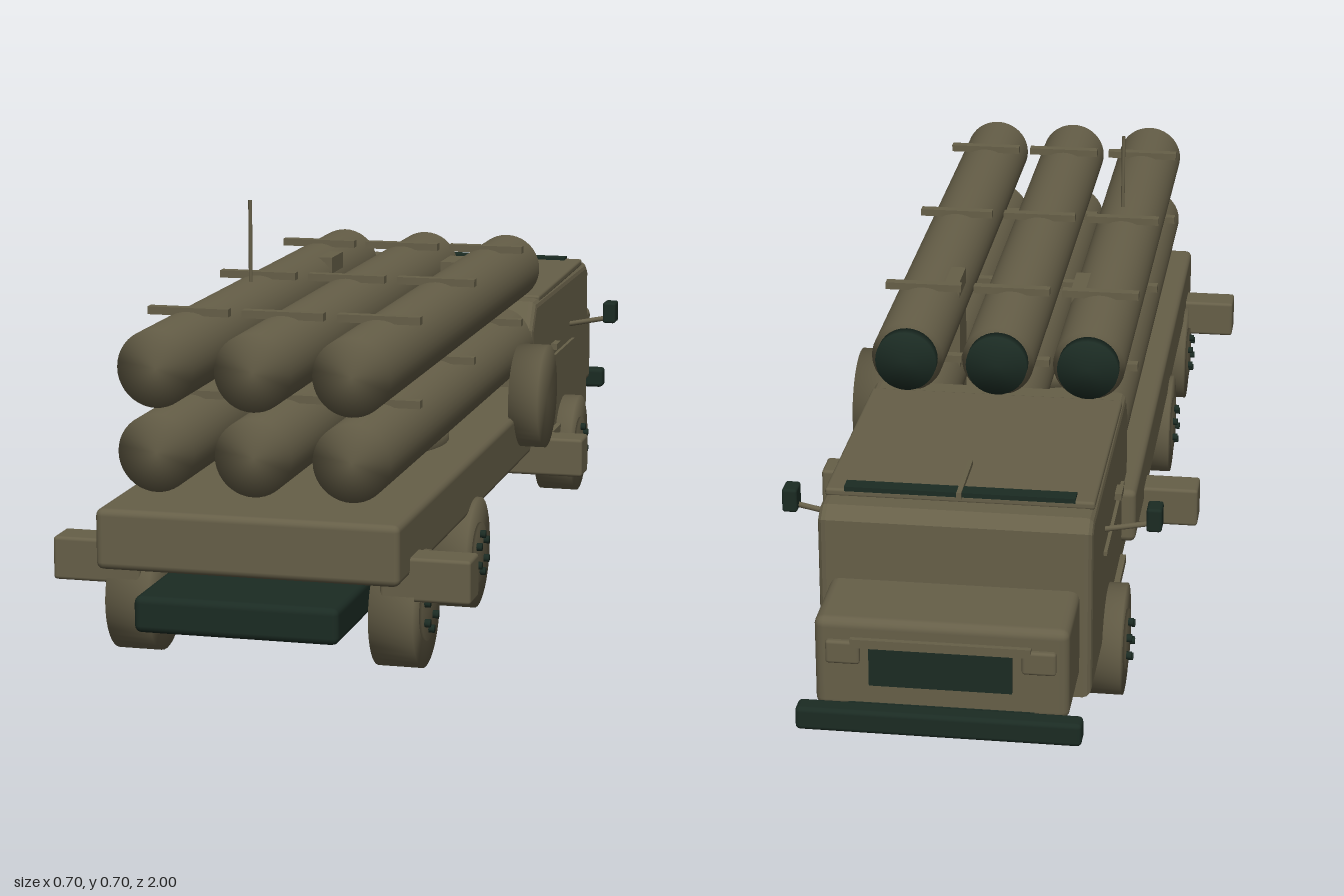
import * as THREE from 'three';
import { mergeVertices } from 'three/addons/utils/BufferGeometryUtils.js';
import { RoundedBoxGeometry } from 'three/addons/geometries/RoundedBoxGeometry.js';

export function createModel() {
  const model = new THREE.Group();
  model.name = 'missileTruck';
  const olive = new THREE.MeshStandardMaterial({ name: 'olive paint', color: 0x665f48 });
  const dark = new THREE.MeshStandardMaterial({ name: 'dark green', color: 0x1b2b23 });

  const add = (name, geo, mat, x = 0, y = 0, z = 0, parent = model) => {
    const m = new THREE.Mesh(geo, mat);
    m.name = name;
    m.position.set(x, y, z);
    parent.add(m);
    return m;
  };
  // Box given by its limits; r rounds the edges
  const box = (name, mat, x0, x1, y0, y1, z0, z1, r = 0) => {
    const s = [x1 - x0, y1 - y0, z1 - z0];
    const geo = r ? new RoundedBoxGeometry(...s, 2, r) : new THREE.BoxGeometry(...s);
    return add(name, geo, mat, (x0 + x1) / 2, (y0 + y1) / 2, (z0 + z1) / 2);
  };
  // Cylinder whose shading flows softly over the rims
  const softCylinder = (r, len, axis, seg = 32) => {
    let g = new THREE.CylinderGeometry(r, r, len, seg);
    g.deleteAttribute('uv');
    g.deleteAttribute('normal');
    g = mergeVertices(g, 1e-5);
    g.computeVertexNormals();
    if (axis === 'x') g.rotateZ(-Math.PI / 2);
    if (axis === 'z') g.rotateX(Math.PI / 2);
    return g;
  };

  // Chassis and load bed
  box('chassis', dark, -0.167, 0.167, 0.085, 0.145, -0.89, 1.0, 0.012);
  box('bed', olive, -0.25, 0.25, 0.168, 0.268, -0.32, 0.94, 0.012);

  // Cab: side profile extruded across the width
  const b = 0.014;
  const profile = new THREE.Shape([
    [-0.81 + b, 0.118 + b], [-0.22 - b, 0.118 + b], [-0.22 - b, 0.375],
    [-0.25 - b, 0.43 - b], [-0.78, 0.43 - b], [-0.81 + b, 0.405],
  ].map((p) => new THREE.Vector2(...p)));
  const cabGeo = new THREE.ExtrudeGeometry(profile, {
    depth: 0.45 - 2 * b, bevelSize: b, bevelThickness: b, bevelSegments: 3,
  });
  cabGeo.translate(0, 0, -(0.225 - b)).rotateY(-Math.PI / 2);
  add('cab', cabGeo, olive);
  const roof = box('roofPanel', olive, -0.222, 0.222, 0.424, 0.438, -0.75, -0.3, 0.005);
  roof.rotation.x = 0.015;
  box('roofStrip', dark, -0.19, 0.19, 0.438, 0.446, -0.75, -0.722);
  box('roofRod', olive, -0.004, 0.004, 0.436, 0.448, -0.755, -0.62);

  // Hood, grille, headlights and bumper
  box('hood', olive, -0.205, 0.205, 0.15, 0.31, -0.957, -0.78, 0.016);
  box('grille', dark, -0.115, 0.115, 0.2, 0.265, -0.966, -0.95);
  box('grilleTrim', olive, -0.145, 0.145, 0.265, 0.28, -0.966, -0.95);
  box('bumper', dark, -0.23, 0.23, 0.13, 0.17, -1.0, -0.963, 0.008);
  box('bumperMount', dark, -0.15, 0.15, 0.135, 0.165, -0.97, -0.86);

  for (const s of [-1, 1]) {
    const side = (name, mat, x0, x1, ...rest) =>
      box(name, mat, Math.min(s * x0, s * x1), Math.max(s * x0, s * x1), ...rest);
    side('headlight', olive, 0.13, 0.185, 0.235, 0.275, -0.966, -0.94, 0.005);

    // Cab side details
    side('sideTrim', olive, 0.22, 0.231, 0.29, 0.297, -0.63, -0.34);
    side('doorHandle', olive, 0.22, 0.237, 0.31, 0.322, -0.45, -0.41);
    side('cabStep', olive, 0.215, 0.235, 0.135, 0.15, -0.48, -0.33);

    // Mirror on its slanted arm
    side('mirror', dark, 0.295, 0.321, 0.336, 0.378, -0.628, -0.588, 0.005);
    const arm = add('mirrorArm', softCylinder(0.005, 0.085, 'x', 8), olive, s * 0.26, 0.336, -0.608);
    arm.rotation.z = s * 0.2;

    // Stabiliser beams
    for (const z of [-0.12, 0.835])
      side('stabiliser', olive, 0.2, 0.348, 0.128, 0.2, z - 0.032, z + 0.032, 0.006);

    // Launcher side posts
    side('launcherPost', olive, 0.103, 0.148, 0.26, 0.545, -0.05, 0.03);

    // Wheels with hubs and lug nuts
    for (const z of [-0.55, 0.395, 0.78]) {
      const wheel = new THREE.Group();
      wheel.name = 'wheel';
      wheel.position.set(s * 0.22, 0.096, z);
      model.add(wheel);
      add('tyre', softCylinder(0.096, 0.073, 'x', 40), olive, 0, 0, 0, wheel);
      add('hub', softCylinder(0.052, 0.006, 'x', 24), olive, s * 0.038, 0, 0, wheel);
      for (let i = 0; i < 6; i++) {
        const a = (i * Math.PI) / 3 + Math.PI / 6;
        add('lugNut', softCylinder(0.007, 0.016, 'x', 8), dark,
          s * 0.042, 0.033 * Math.sin(a), 0.033 * Math.cos(a), wheel);
      }
    }
  }

  // Spare wheel on the left side
  add('spareWheel', softCylinder(0.095, 0.054, 'x', 40), olive, 0.267, 0.294, -0.022);

  // Turntable under the launcher
  add('turntable', softCylinder(0.18, 0.04, 'y', 40), olive, 0, 0.274, 0.31);

  // Two rows of three launch tubes, with clamps
  for (const [y, back] of [[0.49, -0.285], [0.353, -0.25]]) {
    for (const x of [-0.161, 0, 0.161]) {
      const len = 0.89 - back;
      add('launchTube', softCylinder(0.0635, len, 'z', 40), olive, x, y, back + len / 2);
      if (y > 0.4) add('tubeCap', softCylinder(0.054, 0.03, 'z', 32), dark, x, y, back - 0.008);
      for (const z of [-0.097, 0.308, 0.71])
        box('tubeClamp', olive, x - 0.069, x + 0.069, y + 0.057, y + 0.07, z - 0.009, z + 0.009);
    }
  }

  // Whip antenna
  add('antenna', softCylinder(0.0035, 0.275, 'y', 8), olive, -0.153, 0.558, 0.385);

  return model;
}
